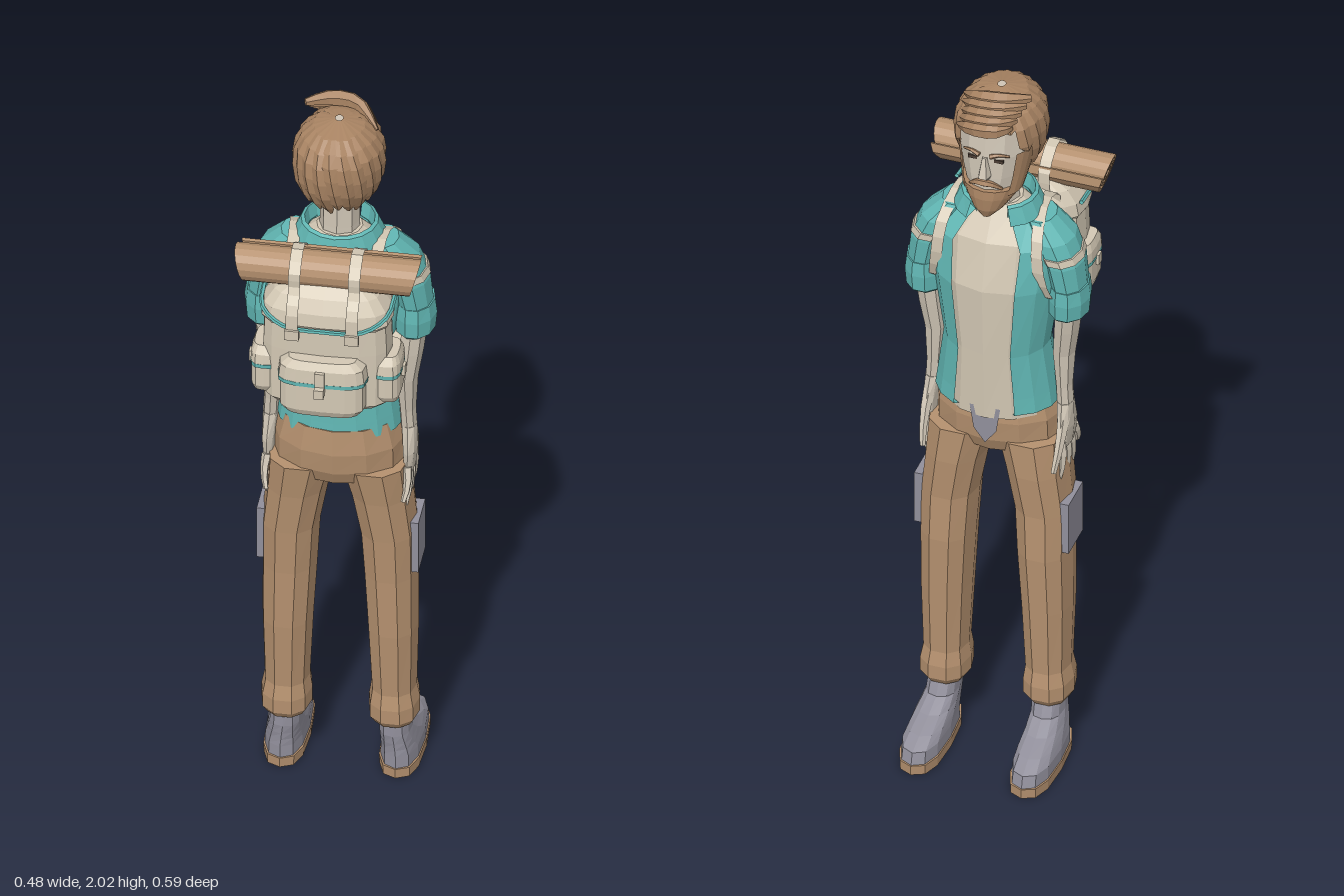
import * as THREE from 'three';

const mat = (name, color) => Object.assign(new THREE.MeshStandardMaterial({ color, side: THREE.DoubleSide }), { name });
const M = {
  brown: mat('warm brown', 0xb5916f), teal: mat('teal', 0x62b8b5), cream: mat('cream', 0xd3c8b4),
  skin: mat('pale skin', 0xcfc5b5), grey: mat('slate grey', 0x918f9b), hair: mat('hair brown', 0xa98463),
  dark: mat('dark brown', 0x4a3c33),
};
const V = (x, y, z) => new THREE.Vector3(x, y, z);

// Faceted surface through rows of points
function grid(rows, closed = false, capped = false) {
  if (capped) {
    const mid = (r) => r.map(() => r.reduce((a, p) => a.add(p), V(0, 0, 0)).divideScalar(r.length));
    rows = [mid(rows[0]), ...rows, mid(rows[rows.length - 1])];
  }
  const n = rows[0].length, idx = [];
  for (let i = 0; i < rows.length - 1; i++)
    for (let j = 0; j < (closed ? n : n - 1); j++) {
      const k = (j + 1) % n, a = i * n + j, b = i * n + k, c = a + n, d = b + n;
      idx.push(a, c, b, b, c, d);
    }
  const g = new THREE.BufferGeometry().setFromPoints(rows.flat());
  g.setIndex(idx);
  return flat(g);
}
function flat(g) {
  const f = g.index ? g.toNonIndexed() : g;
  f.computeVertexNormals();
  return f;
}

// Stack of oval sections [y, cx, cz, rx, rz]; e < 1 makes them squarer
function loft(rings, { n = 10, e = 1, from = 0, to = Math.PI * 2, s = 1 } = {}) {
  const full = to - from > 6.28;
  const pw = (v) => Math.sign(v) * Math.pow(Math.abs(v), e);
  const rows = rings.map(([y, cx, cz, rx, rz]) => Array.from({ length: full ? n : n + 1 }, (_, j) => {
    const t = from + (to - from) * j / n;
    return V(s * cx + rx * pw(Math.cos(t)), y, cz + rz * pw(Math.sin(t)));
  }));
  return grid(rows, full, full);
}

// Tapered round sweep along a curve; radius(u) gives thickness
function sweep(pts, radius, steps = 6, sides = 6) {
  const curve = new THREE.CatmullRomCurve3(pts), f = curve.computeFrenetFrames(steps);
  return grid(Array.from({ length: steps + 1 }, (_, i) => {
    const p = curve.getPoint(i / steps), r = radius(i / steps);
    return Array.from({ length: sides }, (_, j) => {
      const t = -j / sides * Math.PI * 2;
      return p.clone().addScaledVector(f.normals[i], r * Math.cos(t)).addScaledVector(f.binormals[i], r * Math.sin(t));
    });
  }), true, true);
}

// Flat strap of width w along a curve
function ribbon(pts, w, steps = 14) {
  return grid(new THREE.CatmullRomCurve3(pts).getPoints(steps).map((p) => [V(p.x - w / 2, p.y, p.z), V(p.x + w / 2, p.y, p.z)]));
}

export function createModel() {
  const root = new THREE.Group();
  const add = (name, g, m) => {
    const o = new THREE.Mesh(g, m);
    o.name = name;
    root.add(o);
    return o;
  };
  const box = (name, m, w, h, d, x, y, z) => add(name, flat(new THREE.BoxGeometry(w, h, d).translate(x, y, z)), m);

  // Torso: undershirt, open shirt, collar, hips
  add('undershirt', loft([[1.05, 0, -.05, .138, .108], [1.25, 0, -.055, .122, .112], [1.45, 0, -.055, .15, .12],
    [1.58, 0, -.045, .155, .1], [1.64, 0, -.035, .09, .07], [1.665, 0, -.035, .058, .055]], { n: 12 }), M.cream);
  const open = { n: 14, from: -Math.PI / 2 + .52, to: Math.PI * 1.5 - .52 };
  add('openShirt', loft([[1.07, 0, -.05, .142, .11], [1.075, 0, -.052, .16, .123], [1.12, 0, -.052, .154, .121], [1.25, 0, -.055, .136, .12],
    [1.45, 0, -.055, .165, .13], [1.57, 0, -.045, .178, .112], [1.63, 0, -.035, .115, .088], [1.65, 0, -.035, .08, .07]], open), M.teal);
  add('collar', loft([[1.635, 0, -.035, .08, .072], [1.685, 0, -.037, .088, .085], [1.68, 0, -.037, .097, .094],
    [1.635, 0, -.038, .118, .104]], open), M.teal);
  add('hips', loft([[.93, 0, -.035, .14, .09], [.97, 0, -.035, .165, .108], [1.03, 0, -.035, .164, .115], [1.1, 0, -.035, .146, .108]], { n: 12 }), M.brown);
  const fly = new THREE.Shape([[-.04, 1.08], [.04, 1.08], [.03, 1.01], [0, .97], [-.03, 1.01]].map((p) => new THREE.Vector2(...p)));
  add('flyPanel', flat(new THREE.ShapeGeometry(fly).translate(0, 0, -.153)), M.grey);

  for (const s of [1, -1]) {
    const side = s > 0 ? 'left' : 'right';
    // Trouser legs with gathered cuffs and side pockets
    add(side + 'TrouserLeg', loft([[.16, .135, -.052, .052, .062], [.18, .135, -.052, .064, .077], [.22, .135, -.052, .064, .078],
      [.26, .134, -.052, .057, .07], [.45, .132, -.05, .064, .082], [.62, .127, -.052, .069, .088], [.75, .123, -.046, .073, .09],
      [.87, .106, -.044, .078, .1], [.97, .09, -.036, .088, .108]], { n: 10, e: .85, s }), M.brown);
    box(side + 'KneePocket', M.grey, .032, .15, .105, s * .187, .715, -.052);

    // Shoes
    add(side + 'Sole', loft([[0, .145, -.146, .055, .147], [.028, .145, -.146, .056, .149]], { n: 12, e: .75, s }), M.brown);
    add(side + 'Shoe', loft([[.028, .145, -.146, .053, .145], [.06, .145, -.142, .052, .14], [.08, .143, -.12, .049, .117], [.1, .141, -.088, .045, .086],
      [.125, .138, -.062, .041, .062], [.18, .136, -.052, .04, .05]], { n: 12, e: .8, s }), M.grey);

    // Arms with rolled sleeves
    add(side + 'Sleeve', loft([[1.44, .188, -.052, .046, .064], [1.52, .174, -.05, .052, .072], [1.585, .145, -.045, .055, .073],
      [1.635, .108, -.04, .04, .052]], { s }), M.teal);
    add(side + 'SleeveCuff', loft([[1.355, .185, -.052, .042, .055], [1.365, .187, -.052, .051, .066], [1.41, .188, -.052, .054, .07],
      [1.45, .188, -.052, .049, .067]], { s }), M.teal);
    add(side + 'SleeveStripe', loft([[1.53, .171, -.05, .055, .075], [1.548, .163, -.049, .056, .076]], { s }), M.cream);
    add(side + 'Forearm', loft([[1.06, .173, -.042, .021, .028], [1.12, .17, -.04, .021, .03], [1.22, .168, -.036, .029, .039],
      [1.3, .177, -.042, .033, .044], [1.4, .186, -.05, .036, .046]], { n: 8, s }), M.skin);
    add(side + 'Palm', loft([[.945, .176, -.04, .014, .052], [1.0, .177, -.042, .019, .052], [1.07, .173, -.042, .021, .03]], { n: 8, s }), M.skin);
    [[.006, .045, .885], [-.024, .005, .85], [-.052, -.038, .842], [-.08, -.085, .855]].forEach(([z0, z1, y1], i) =>
      add(side + 'Finger' + (i + 1), sweep([V(s * .176, .965, z0), V(s * .18, (.96 + y1) / 2, (z0 + z1) / 2), V(s * .172, y1, z1)],
        (u) => .0135 - .007 * u, 3, 5), M.skin));
    add(side + 'Thumb', sweep([V(s * .176, 1.03, -.065), V(s * .178, .97, -.1), V(s * .172, .9, -.13)], (u) => .016 - .009 * u, 3, 5), M.skin);

    // Shoulder strap of the pack
    add(side + 'ShoulderStrap', ribbon([V(s * .1, 1.5, .085), V(s * .105, 1.62, .062), V(s * .11, 1.655, -.03), V(s * .125, 1.6, -.122),
      V(s * .135, 1.5, -.135), V(s * .15, 1.4, -.09), V(s * .14, 1.34, .07)], .03), M.cream);
  }

  // Neck, head and face
  add('neck', loft([[1.6, 0, -.035, .056, .052], [1.68, 0, -.036, .05, .048], [1.79, 0, -.042, .05, .05]], { n: 8 }), M.skin);
  add('head', loft([[1.7, 0, -.115, .03, .032], [1.73, 0, -.095, .058, .06], [1.79, 0, -.07, .08, .086], [1.85, 0, -.055, .093, .1],
    [1.92, 0, -.045, .093, .102], [1.97, 0, -.04, .06, .07]], { n: 12 }), M.skin);
  add('nose', loft([[1.79, 0, -.152, .014, .012], [1.8, 0, -.158, .017, .02], [1.855, 0, -.15, .008, .012]], { n: 5, from: Math.PI * .1, to: Math.PI * 2.1 }), M.skin);
  add('beard', loft([[1.67, 0, -.135, .014, .018], [1.695, 0, -.118, .042, .046], [1.73, 0, -.096, .067, .071], [1.755, 0, -.084, .079, .08],
    [1.757, 0, -.08, .07, .07]], { n: 10, from: Math.PI - .25, to: Math.PI * 2 + .25 }), M.hair);
  add('moustache', sweep([V(-.042, 1.76, -.143), V(-.02, 1.779, -.159), V(0, 1.782, -.163), V(.02, 1.779, -.159), V(.042, 1.76, -.143)],
    (u) => .004 + .006 * Math.sin(u * Math.PI), 8, 5), M.hair);
  for (const s of [1, -1]) {
    const from = s > 0 ? -.75 : Math.PI - .15;
    add('sideburn', loft([[1.74, 0, -.088, .077, .078], [1.79, 0, -.069, .088, .09], [1.86, 0, -.053, .1, .102]], { n: 4, from, to: from + .9 }), M.hair);
    box('eye', M.dark, .024, .009, .008, s * .034, 1.845, -.145).rotation.y = 0;
    add('brow', sweep([V(s * .014, 1.861, -.156), V(s * .035, 1.867, -.151), V(s * .06, 1.86, -.138)], (u) => .007 - .004 * u, 4, 5), M.hair);
  }

  // Hair: ridged locks falling from the crown
  const profile = [[1.755, .068, .078], [1.79, .093, .105], [1.83, .109, .126], [1.88, .114, .133], [1.93, .107, .126], [1.965, .083, .1], [1.987, .05, .062], [1.995, .004, .004]];
  const at = (y) => {
    const i = Math.min(profile.length - 2, Math.max(0, profile.findIndex((p) => p[0] > y) - 1)), a = profile[i], b = profile[i + 1];
    const k = Math.min(1, (y - a[0]) / (b[0] - a[0]));
    return [a[1] + (b[1] - a[1]) * k, a[2] + (b[2] - a[2]) * k];
  };
  const locks = 20;
  for (let i = 0; i < locks; i++) {
    const t = i / locks * Math.PI * 2, front = -Math.sin(t);
    const low = front > .75 ? 1.925 : front > .45 ? 1.86 : 1.757 + .014 * (i % 3);
    const rows = [0, .12, .3, .5, .68, .82, .93, 1].map((k) => {
      const y = low + (1.994 - low) * k, [rx, rz] = at(y), w = (k === 0 ? .06 : .19);
      return [-1, 0, 1].map((j) => {
        const a = t + j * w + (y - 1.9) * 1.4, q = j ? .98 : 1.035;
        return V(rx * q * Math.cos(a), y, -.027 + rz * q * Math.sin(a));
      });
    });
    add('hairLock', grid(rows), M.hair);
  }
  // Swept fringe over the forehead
  for (let i = 0; i < 5; i++) {
    const z = -.155 + i * .014, y = 1.925 + i * .014;
    add('fringeLock', sweep([V(-.06 - .008 * i, y + .02, z + .03), V(-.03, y + .02, z), V(.035, y + .012, z + .002), V(.092, y - .025, z + .055)],
      (u) => .004 + .018 * Math.sin(Math.min(1, u * .9 + .1) * Math.PI), 7, 6), M.hair);
  }

  // Backpack body, lid and pockets
  const sq = { n: 16, e: .6 };
  add('packBody', loft([[1.28, 0, .14, .145, .075], [1.295, 0, .143, .16, .083], [1.45, 0, .143, .162, .083], [1.54, 0, .143, .158, .082]], sq), M.cream);
  add('packLid', loft([[1.525, 0, .145, .16, .085], [1.535, 0, .145, .166, .09], [1.57, 0, .143, .16, .086], [1.605, 0, .138, .135, .072],
    [1.632, 0, .13, .095, .05]], sq), M.cream);
  add('lidTrim', sweep([V(-.164, 1.575, .1), V(-.155, 1.56, .2), V(-.1, 1.533, .234), V(0, 1.527, .238), V(.1, 1.533, .234), V(.155, 1.56, .2), V(.164, 1.575, .1)],
    () => .006, 18, 5), M.teal);
  const pocket = (name, cx, cz, rx, rz, y0, y1) => {
    const fl = y0 + (y1 - y0) * .62;
    add(name, loft([[y0, cx, cz, rx * .85, rz * .8], [y0 + .02, cx, cz, rx, rz], [fl, cx, cz, rx, rz]], sq), M.cream);
    add(name + 'Trim', loft([[fl - .006, cx, cz, rx * 1.04, rz * 1.06], [fl + .005, cx, cz, rx * 1.05, rz * 1.07]], sq), M.teal);
    add(name + 'Flap', loft([[fl + .005, cx, cz, rx * 1.04, rz * 1.06], [y1 - .02, cx, cz, rx, rz], [y1, cx, cz, rx * .8, rz * .75]], sq), M.cream);
  };
  pocket('frontPocket', 0, .22, .108, .048, 1.283, 1.445);
  for (const s of [1, -1]) {
    pocket('sidePocket', s * .152, .148, .036, .06, 1.3, 1.435);
    add('rollStrap', ribbon([V(s * .075, 1.5, .243), V(s * .075, 1.58, .24), V(s * .075, 1.625, .205), V(s * .075, 1.67, .204), V(s * .075, 1.715, .145),
      V(s * .075, 1.67, .076), V(s * .075, 1.6, .075)], .03), M.cream);
    box('strapBuckle', M.cream, .036, .028, .014, s * .075, 1.515, .243);
    box('sidePocketBuckle', M.cream, .012, .03, .02, s * .19, 1.375, .15);
  }
  box('pocketTab', M.cream, .024, .06, .01, 0, 1.395, .272);
  box('pocketBuckle', M.cream, .024, .026, .024, 0, 1.372, .28);

  // Bedroll: an extruded spiral whose ends slant outward at the top
  const outer = [], inner = [], turns = 44;
  for (let i = 0; i <= turns; i++) {
    const u = i / turns, a = u * Math.PI * 2 * 2.75 + 1.9, r = .014 + .044 * u + (u > .96 ? .008 : 0);
    outer.push(new THREE.Vector2(r * Math.cos(a), r * Math.sin(a)));
    inner.unshift(new THREE.Vector2((r - .009) * Math.cos(a), (r - .009) * Math.sin(a)));
  }
  const roll = new THREE.ExtrudeGeometry(new THREE.Shape([...outer, ...inner]), { depth: .44, bevelEnabled: false });
  roll.translate(0, 0, -.22).rotateY(Math.PI / 2);
  const p = roll.attributes.position;
  for (let i = 0; i < p.count; i++) p.setX(i, p.getX(i) * (1 + p.getY(i) * 1.25));
  add('bedroll', flat(roll.translate(0, 1.655, .142)), M.brown);

  return root;
}
